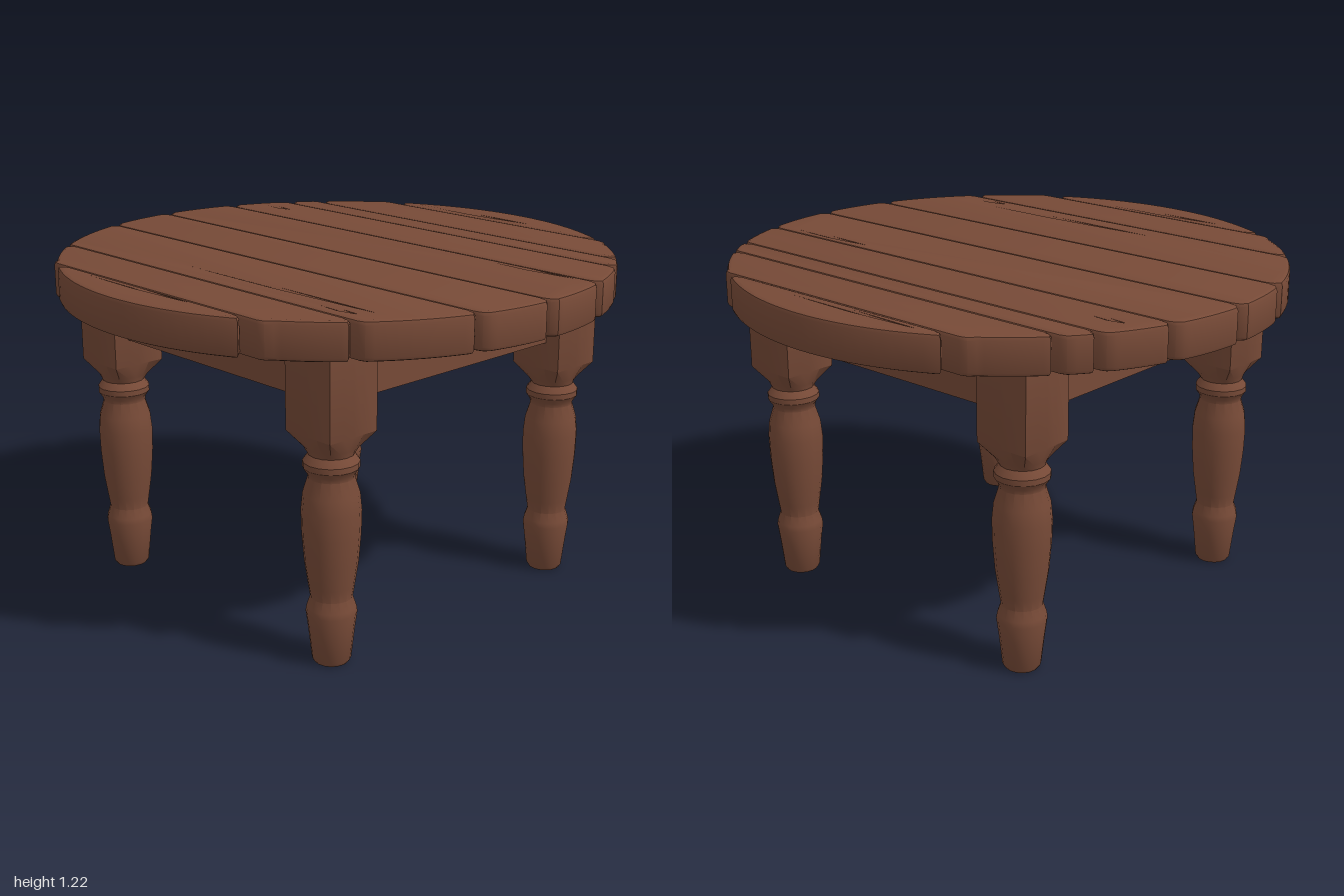
import * as THREE from 'three';
import { toCreasedNormals } from 'three/addons/utils/BufferGeometryUtils.js';

const TOP = 1.22, THICK = 0.13, BEVEL = 0.014, R = 0.993;

// Outline of one plank between x0 and x1, ends following the round edge, corners worn off
function plankOutline(x0, x1) {
  const cutL = x0 > -R, cutR = x1 < R;
  const a = Math.acos(Math.max(-1, (x0 + (cutL ? 0.03 : 0)) / R));
  const b = Math.acos(Math.min(1, (x1 - (cutR ? 0.03 : 0)) / R));
  const end = [];
  const n = 10;
  for (let i = 0; i <= n; i++) {
    const t = a + (b - a) * i / n;
    end.push([R * Math.cos(t), R * Math.sin(t)]);
  }
  const corner = (x, z) => [[x, z - 0.045], [x + Math.sign(end[5][0] - x) * 0.008, z - 0.018]];
  if (cutL) end.unshift(...corner(x0, end[0][1]));
  if (cutR) end.push(...corner(x1, end[end.length - 1][1]).reverse());
  const far = end.map(([x, z]) => [x, -z]).reverse();
  const loop = [...end, ...far].filter(([x, z], i, all) => {
    const [px, pz] = all[(i + all.length - 1) % all.length];
    return Math.hypot(x - px, z - pz) > 1e-4;
  });
  return new THREE.Shape(loop.map(p => new THREE.Vector2(...p)));
}

// Long thin crack: [x at z0, z0, x at z1, z1]
function crackHole([xa, za, xb, zb]) {
  const w = 0.003, mx = (xa + xb) / 2, mz = (za + zb) / 2;
  return new THREE.Path([[xa, za], [mx - w, mz], [xb, zb], [mx + w, mz]].map(p => new THREE.Vector2(...p)));
}

function plankGeometry(x0, x1, cracks) {
  const shape = plankOutline(x0, x1);
  shape.holes = cracks.map(crackHole);
  const g = new THREE.ExtrudeGeometry(shape, {
    depth: THICK - 2 * BEVEL, bevelEnabled: true, bevelThickness: BEVEL,
    bevelSize: BEVEL, bevelOffset: -BEVEL, bevelSegments: 2,
  });
  g.rotateX(Math.PI / 2);
  g.translate(0, TOP - BEVEL, 0);
  return toCreasedNormals(g, 0.6);
}

// Turned leg: round below, blending to a square block at the top
function legGeometry() {
  const profile = [
    [0, 0], [0.058, 0], [0.066, 0.012], [0.078, 0.12], [0.086, 0.18], [0.083, 0.2],
    [0.071, 0.235], [0.078, 0.28], [0.09, 0.36], [0.098, 0.46], [0.1, 0.54], [0.094, 0.6],
    [0.077, 0.655], [0.08, 0.67], [0.094, 0.69], [0.094, 0.71], [0.076, 0.735],
    [0.08, 0.755], [0.103, 0.81], [0.103, 1.1], [0, 1.1],
  ].map(p => new THREE.Vector2(...p));
  const g = new THREE.LatheGeometry(profile, 16);
  const pos = g.attributes.position;
  for (let i = 0; i < pos.count; i++) {
    const x = pos.getX(i), y = pos.getY(i), z = pos.getZ(i), r = Math.hypot(x, z);
    if (r < 1e-6 || y < 0.74) continue;
    const square = r / Math.max(Math.abs(x), Math.abs(z));
    const k = THREE.MathUtils.lerp(1, square, Math.min(1, (y - 0.735) / 0.07));
    pos.setXYZ(i, x * k, y, z * k);
  }
  return toCreasedNormals(g, 0.6);
}

export function createModel() {
  const table = new THREE.Group();
  table.name = 'roundTable';
  const wood = new THREE.MeshStandardMaterial({ color: 0x774a37 });
  wood.name = 'brownWood';
  const add = (name, geometry, parent = table) => {
    const mesh = new THREE.Mesh(geometry, wood);
    mesh.name = name;
    parent.add(mesh);
    return mesh;
  };

  // Plank top
  const top = new THREE.Group();
  top.name = 'tableTop';
  table.add(top);
  const edges = [-1, -0.84, -0.63, -0.29, -0.008, 0.29, 0.515, 0.62, 0.83, 1];
  const cracks = [
    [[-0.87, -0.32, -0.86, 0.25]],
    [],
    [[-0.54, -0.24, -0.53, 0.76], [-0.59, 0.52, -0.58, 0.72]],
    [],
    [[0.26, 0.45, 0.265, 0.88]],
    [[0.4, -0.86, 0.405, -0.68]],
    [],
    [],
    [[0.865, -0.42, 0.87, 0.2]],
  ];
  cracks.forEach((list, i) => {
    add('plank', plankGeometry(edges[i], edges[i + 1], list), top);
    // Solid floor closing each crack
    for (const [xa, za, xb, zb] of list) {
      const floor = add('crackFloor', new THREE.BoxGeometry(0.03, 0.08, Math.abs(zb - za)), top);
      floor.position.set((xa + xb) / 2, 1.15, (za + zb) / 2);
    }
  });

  // Four legs
  const leg = legGeometry();
  for (const x of [-0.56, 0.56]) for (const z of [-0.56, 0.56]) {
    add(z > 0 ? 'frontLeg' : 'backLeg', leg).position.set(x, 0, z);
  }

  // Apron rails between the legs
  const rail = new THREE.BoxGeometry(1.0, 0.19, 0.09);
  ['frontRail', 'leftRail', 'backRail', 'rightRail'].forEach((name, i) => {
    const a = i * Math.PI / 2;
    const mesh = add(name, rail);
    mesh.position.set(Math.sin(a) * 0.56, 1.005, Math.cos(a) * 0.56);
    mesh.rotation.y = a;
  });
  return table;
}
